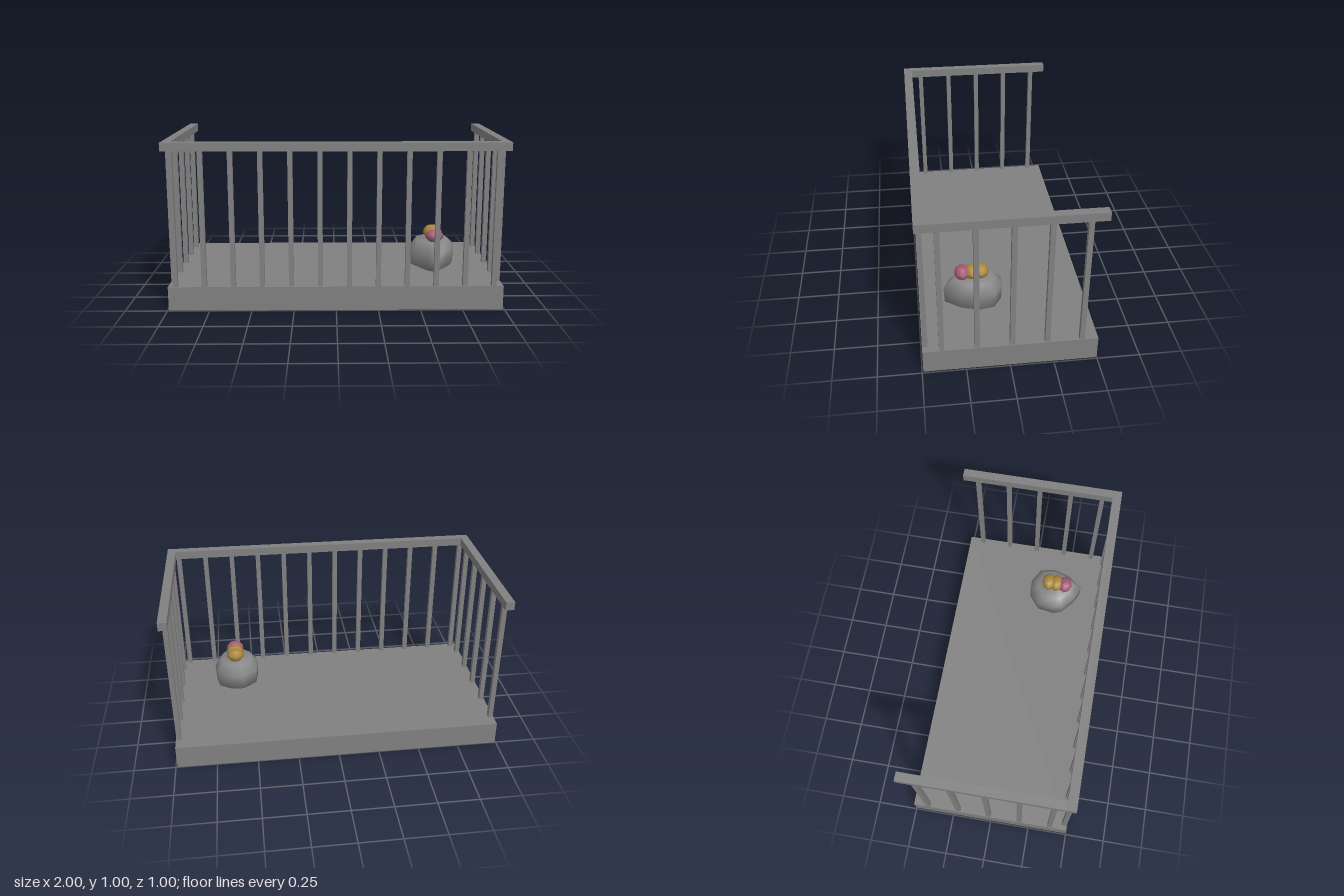
import * as THREE from 'three';

const mat = (name, color) => {
  const m = new THREE.MeshStandardMaterial({ color });
  m.name = name;
  return m;
};

export function createModel() {
  const model = new THREE.Group();
  const concrete = mat('concrete grey', 0x808080);
  const stone = mat('stone grey', 0x868686);
  const pink = mat('dusty pink', 0xa35a74);
  const gold = mat('ochre gold', 0xaa863a);

  const add = (name, geometry, material) => {
    const mesh = new THREE.Mesh(geometry, material);
    mesh.name = name;
    model.add(mesh);
    return mesh;
  };
  // box given by its lower and upper limits
  const box = (name, [x0, y0, z0], [x1, y1, z1]) =>
    add(name, new THREE.BoxGeometry(x1 - x0, y1 - y0, z1 - z0), concrete)
      .position.set((x0 + x1) / 2, (y0 + y1) / 2, (z0 + z1) / 2);

  // floor slab
  box('floorSlab', [-0.993, 0, -0.5], [0.99, 0.145, 0.493]);

  // handrail on three sides, open at the back
  box('frontRail', [-1, 0.95, 0.445], [1, 1, 0.5]);
  box('leftRail', [0.948, 0.95, -0.5], [1, 1, 0.445]);
  box('rightRail', [-1, 0.95, -0.5], [-0.948, 1, 0.445]);

  // balusters
  const w = 0.0145;
  const baluster = (name, x, z) => box(name, [x - w, 0.145, z - w], [x + w, 0.95, z + w]);
  for (let i = 0; i < 12; i++) baluster('frontBaluster', -0.95 + i * 0.1712, 0.475);
  for (let i = 0; i < 5; i++) {
    const z = 0.385 - i * 0.1983;
    baluster('leftBaluster', 0.971, z);
    baluster('rightBaluster', -0.975, z);
  }

  // faceted pot: one outline (x, z) scaled about its centre, per height
  const outline = [
    [0.56, 0], [0.475, 0.07], [0.457, 0.18], [0.475, 0.24], [0.56, 0.315],
    [0.64, 0.352], [0.715, 0.25], [0.745, 0.14], [0.725, 0.05], [0.64, 0],
  ];
  const n = outline.length, cx = 0.605, cz = 0.175;
  // y at left side, y at right side, scale
  const rings = [
    [0.15, 0.15, 0.25], [0.2, 0.205, 0.95], [0.29, 0.31, 0.98], [0.352, 0.352, 0.7],
  ];
  const pos = [], index = [];
  for (const [yl, yr, s] of rings) {
    for (const [x, z] of outline) {
      const t = (x - 0.457) / 0.288;
      pos.push(cx + (x - cx) * s, yl + (yr - yl) * t, cz + (z - cz) * s);
    }
  }
  for (let r = 0; r < rings.length - 1; r++) {
    for (let i = 0; i < n; i++) {
      const a = r * n + i, b = r * n + (i + 1) % n;
      index.push(a, b, b + n, a, b + n, a + n);
    }
  }
  const bottom = pos.length / 3, top = bottom + 1, last = (rings.length - 1) * n;
  pos.push(cx, 0.147, cz, cx, 0.358, cz);
  for (let i = 0; i < n; i++) {
    const j = (i + 1) % n;
    index.push(bottom, j, i, top, last + i, last + j);
  }
  const pot = new THREE.BufferGeometry();
  pot.setAttribute('position', new THREE.Float32BufferAttribute(pos, 3));
  pot.setIndex(index);
  pot.computeVertexNormals();
  add('pot', pot, stone);

  // row of three blossoms on the pot
  [[0.125, 0.39, gold], [0.177, 0.388, gold], [0.235, 0.386, pink]].forEach(([z, y, m]) => {
    const bloom = add('blossom', new THREE.SphereGeometry(1, 8, 5), m);
    bloom.scale.set(0.057, 0.042, 0.047);
    bloom.position.set(0.607, y, z);
  });

  return model;
}
